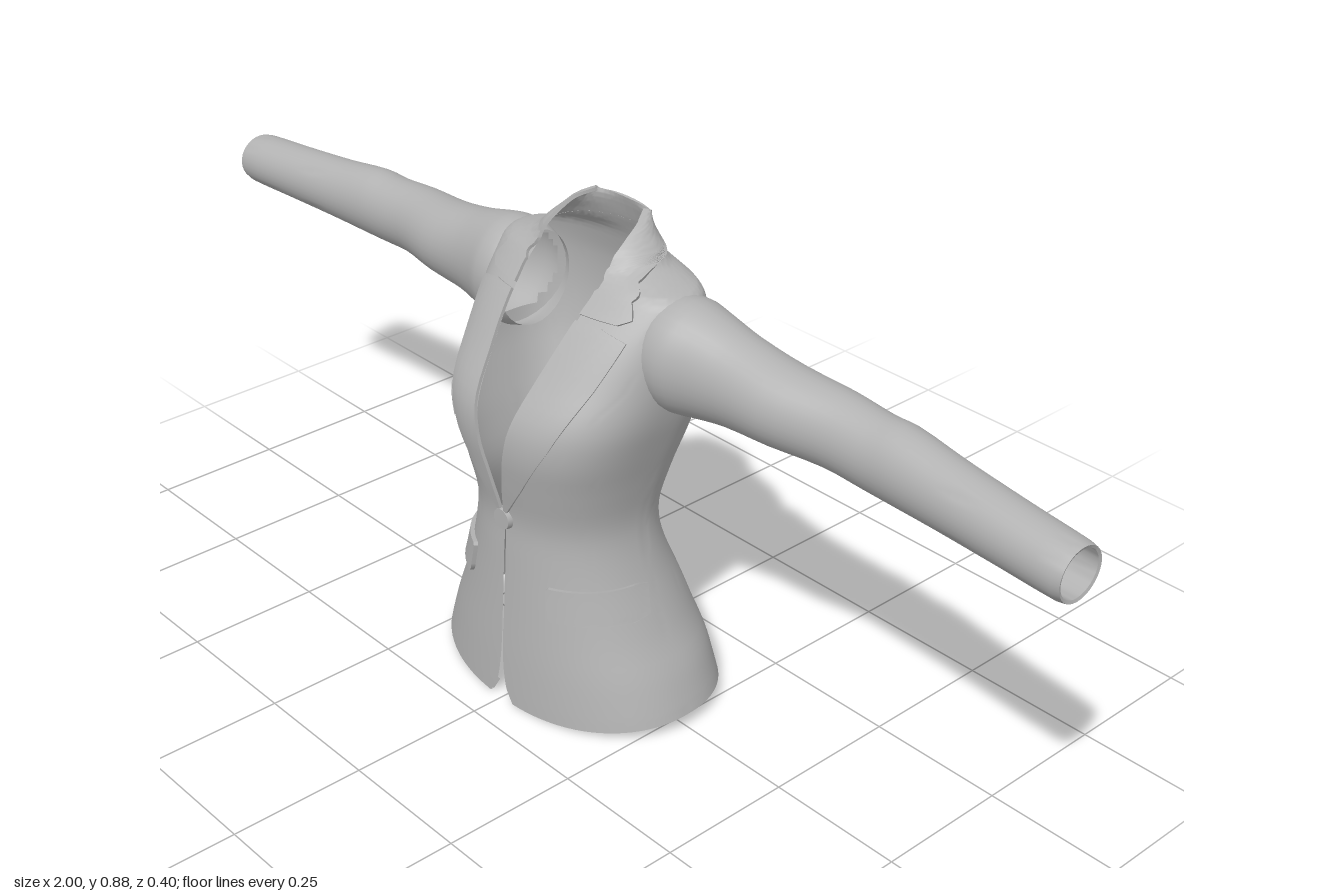
import * as THREE from 'three';
import { toCreasedNormals } from 'three/addons/utils/BufferGeometryUtils.js';

// Torso cross-sections: height, half width, front z, back z, widest z, half opening, squareness
const SECTIONS = [
  [0, .28, .188, -.198, 0, .03, 2.2],
  [.03, .272, .187, -.193, 0, .012, 2.2],
  [.1, .25, .184, -.18, 0, .002, 2.2],
  [.2, .208, .178, -.15, .01, .002, 2.2],
  [.3, .174, .173, -.112, .02, .002, 2.2],
  [.37, .163, .171, -.104, .02, .002, 2.3],
  [.45, .176, .185, -.122, .015, .016, 2.5],
  [.52, .194, .195, -.14, .005, .033, 2.7],
  [.58, .209, .187, -.151, -.01, .046, 2.7],
  [.65, .218, .145, -.157, -.03, .062, 2.6],
  [.72, .222, .097, -.152, -.04, .076, 2.5],
  [.77, .218, .055, -.139, -.045, .084, 2.4],
  [.788, .205, .04, -.133, -.047, .085, 2.3],
  [.798, .172, .033, -.129, -.05, .085, 2.2],
  [.81, .135, .03, -.124, -.05, .085, 2.1],
  [.83, .115, .025, -.115, -.055, .083, 2],
  [.85, .094, 0, -.108, -.06, .08, 2],
  [.865, .08, -.035, -.103, -.07, .074, 2],
  [.876, .06, -.085, -.1, -.093, .055, 2],
];

// Sleeve rings: x, centre y, radius y, centre z, radius z (ends fold into the cuff)
const SLEEVE = [
  [.165, .69, .088, -.04, .078], [.2, .69, .099, -.04, .088], [.225, .689, .1, -.041, .088],
  [.27, .687, .092, -.045, .077], [.33, .682, .08, -.05, .069], [.42, .675, .07, -.056, .068],
  [.52, .67, .065, -.069, .06], [.6, .665, .064, -.069, .056], [.65, .665, .065, -.068, .056],
  [.75, .661, .058, -.06, .053], [.88, .658, .052, -.048, .051], [.985, .655, .048, -.04, .05],
  [1, .655, .045, -.039, .047], [.998, .655, .04, -.039, .042], [.93, .656, .041, -.043, .042],
];

// Smooth lookup in a table keyed by its first column
function lookup(table, y) {
  const last = table.length - 1;
  y = Math.min(Math.max(y, table[0][0]), table[last][0]);
  let i = 0;
  while (i < last - 1 && y > table[i + 1][0]) i++;
  const slope = (k, c) => {
    const a = table[Math.max(k - 1, 0)], b = table[Math.min(k + 1, last)];
    return (b[c] - a[c]) / (b[0] - a[0]);
  };
  const a = table[i], b = table[i + 1], h = b[0] - a[0], t = (y - a[0]) / h;
  return a.slice(1).map((_, k) => {
    const c = k + 1;
    return a[c] * (1 + 2 * t) * (1 - t) ** 2 + b[c] * t * t * (3 - 2 * t)
      + h * (slope(i, c) * t * (1 - t) ** 2 - slope(i + 1, c) * t * t * (1 - t));
  });
}

// Angle (0 back, PI front) of the point at width x on the front half
function frontAngle(y, x) {
  const s = lookup(SECTIONS, y);
  return Math.PI - Math.asin(Math.min(1, x / s[0]) ** (s[5] / 2));
}
const edgeAngle = (y) => frontAngle(y, Math.max(.001, lookup(SECTIONS, y)[4]));

function basePoint(a, v) {
  const [w, zf, zb, zm, , n] = lookup(SECTIONS, v);
  const s = Math.sin(a), c = Math.cos(a);
  const depth = Math.abs(c) ** (2 / n);
  const hem = (.0075 * (1 + c) + .02 * s * s) * Math.max(0, 1 - v / .15);
  return new THREE.Vector3(
    w * Math.sign(s) * Math.abs(s) ** (2 / n), v + hem,
    zm + depth * (c > 0 ? zb - zm : zf - zm));
}

// Point on the torso, raised along the surface normal
function torsoPoint(a, v, raise = 0) {
  const p = basePoint(a, v);
  if (!raise) return p;
  const e = .004;
  const da = basePoint(a + e, v).sub(basePoint(a - e, v));
  const dv = basePoint(a, v + e).sub(basePoint(a, v - e));
  return p.addScaledVector(dv.cross(da).normalize(), raise);
}

// Surface through rows of points; skip() leaves holes
function surface(rows, { closed = false, skip = null, crease = .6 } = {}) {
  const n = rows[0].length, index = [];
  for (let r = 0; r < rows.length - 1; r++) {
    for (let i = 0; i < (closed ? n : n - 1); i++) {
      const j = (i + 1) % n;
      if (skip && skip(rows[r][i].clone().add(rows[r + 1][j]).multiplyScalar(.5))) continue;
      const a = r * n + i, b = r * n + j, c = a + n, d = b + n;
      index.push(a, c, b, b, c, d);
    }
  }
  const g = new THREE.BufferGeometry().setFromPoints(rows.flat());
  g.setIndex(index);
  return toCreasedNormals(g, crease);
}

// Cloth layer on the torso: keys are [height, start angle, end angle]; borders turn down
function layer(keys, raise, side, cols = 14, steps = 5) {
  const rows = [];
  keys.forEach((k, i) => {
    const next = keys[i + 1];
    for (let s = 0; s < (next ? steps : 1); s++) {
      rows.push(k.map((x, c) => (next ? x + (next[c] - x) * s / steps : x)));
    }
  });
  const line = ([y, a0, a1], flat) => {
    const pts = [];
    for (let i = -1; i <= cols + 1; i++) {
      const t = Math.min(Math.max(i / cols, 0), 1);
      const border = flat || i < 0 || i > cols;
      pts.push(torsoPoint(side * (a0 + (a1 - a0) * t), y, border ? 0 : raise));
    }
    return side > 0 ? pts : pts.reverse();
  };
  return surface([line(rows[0], true), ...rows.map((r) => line(r, false)), line(rows[rows.length - 1], true)]);
}

export function createModel() {
  const jacket = new THREE.Group();
  jacket.name = 'jacket';
  const cloth = new THREE.MeshStandardMaterial({ color: 0xb2b2b2, side: THREE.DoubleSide });
  cloth.name = 'grey cloth';
  const add = (name, geometry) => {
    const mesh = new THREE.Mesh(geometry, cloth);
    mesh.name = name;
    jacket.add(mesh);
    return mesh;
  };

  // Torso shell with a turned hem, open front and armholes
  const levels = [[.03, -.007], [0, -.007], [0, 0]];
  SECTIONS.slice(1).forEach((s, i) => {
    const y0 = SECTIONS[i][0];
    for (let k = 1; k <= 4; k++) levels.push([y0 + (s[0] - y0) * k / 4, 0]);
  });
  const SEG = 96;
  const rings = levels.map(([v, raise]) => Array.from({ length: SEG + 1 }, (_, i) =>
    torsoPoint((i / SEG * 2 - 1) * edgeAngle(v), v, raise)));
  const inArmhole = (p) => Math.abs(p.x) > .12
    && ((p.y - .69) / .083) ** 2 + ((p.z + .04) / .072) ** 2 < 1;
  add('torso', surface(rings, { skip: inArmhole, crease: .9 }));

  // Lapel and collar outlines: height and outer width
  const row = ([y, x]) => [y, frontAngle(y, x), edgeAngle(y)];
  const lapel = [[.385, .012], [.45, .058], [.55, .12], [.65, .157], [.725, .174], [.738, .128]].map(row);
  const collar = [[.747, .15], [.757, .168], [.78, .153], [.8, .138]].map(row);
  collar.push([.815, Math.PI / 2, edgeAngle(.815)], [.825, .7, edgeAngle(.825)]);
  for (const y of [.83, .85, .865, .875]) collar.push([y, 0, edgeAngle(y)]);

  for (const side of [1, -1]) {
    const label = side > 0 ? 'left' : 'right';
    add(label + 'Lapel', layer(lapel, .006, side));
    add(label + 'Collar', layer(collar, .006, side, 20));

    // Slanted hip pocket flap
    const flap = [[.206, .2, .105], [.212, .203, .1], [.262, .187, .092], [.267, .183, .096]]
      .map(([y, xo, xi]) => [y, frontAngle(y, xo), frontAngle(y, xi)]);
    add(label + 'PocketFlap', layer(flap, .008, side));

    // Sleeve ending in a turned cuff
    const sleeve = [];
    SLEEVE.forEach((s, i) => {
      const next = SLEEVE[i + 1];
      const parts = next && next[0] - s[0] > .03 ? 3 : 1;
      for (let k = 0; k < parts; k++) {
        const x = s[0] + (next ? (next[0] - s[0]) * k / parts : 0);
        const [cy, ry, cz, rz] = k ? lookup(SLEEVE.slice(0, 13), x) : s.slice(1);
        sleeve.push(Array.from({ length: 32 }, (_, j) => {
          const a = side * j / 32 * Math.PI * 2;
          return new THREE.Vector3(side * x, cy + ry * Math.cos(a), cz + rz * Math.sin(a));
        }));
      }
    });
    add(label + 'Sleeve', surface(sleeve, { closed: true, crease: .8 }));
  }

  // Breast pocket welt on the right
  const welt = [[.512, .142, .13], [.55, .17, .135], [.556, .168, .137]]
    .map(([y, xo, xi]) => [y, frontAngle(y, xo), frontAngle(y, xi)]);
  add('breastPocket', layer(welt, .004, -1, 6));

  // Centre back seam
  const seam = Array.from({ length: 24 }, (_, i) => torsoPoint(0, .005 + i / 23 * .815));
  add('backSeam', new THREE.TubeGeometry(new THREE.CatmullRomCurve3(seam), 60, .0015, 5));

  // Front button
  const button = add('button', new THREE.CylinderGeometry(.019, .021, .012, 24));
  button.rotation.x = Math.PI / 2;
  button.position.set(0, .368, .174);

  return jacket;
}
